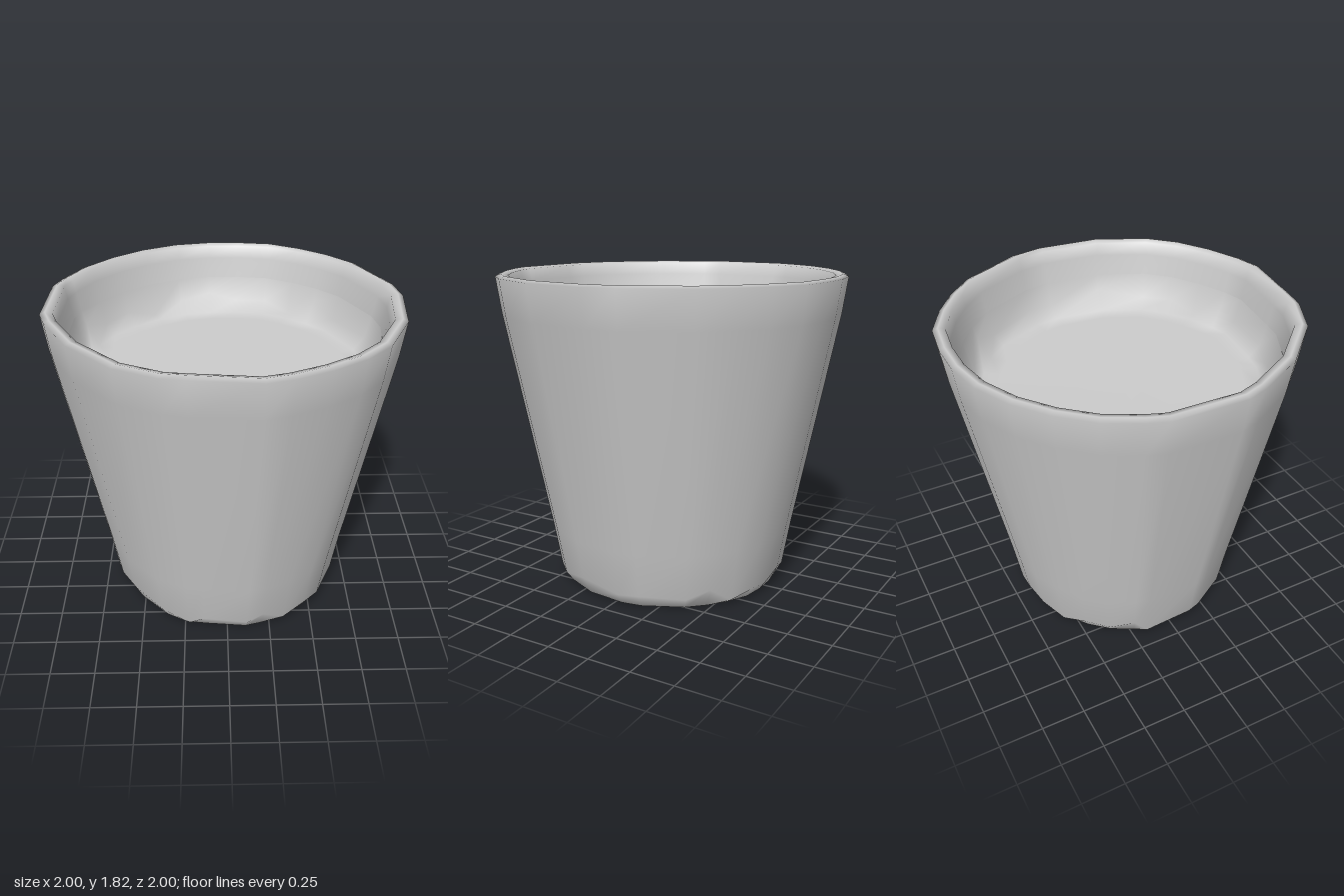
import * as THREE from 'three';

// Slightly irregular rim outline, as [x, z] pairs running from +x towards +z
const OUTLINE = [
  [1, -0.07], [0.96, 0.3], [0.82, 0.6], [0.68, 0.75], [0.5, 0.87], [0.31, 0.96], [0.17, 1],
  [-0.2, 0.96], [-0.33, 0.94], [-0.56, 0.83], [-0.81, 0.57], [-0.96, 0.29], [-1, 0.17],
  [-0.99, -0.25], [-0.95, -0.36], [-0.85, -0.55], [-0.7, -0.72], [-0.52, -0.86], [-0.31, -0.96],
  [-0.1, -1], [0.1, -1], [0.31, -0.97], [0.5, -0.87], [0.66, -0.75], [0.8, -0.6], [0.97, -0.25],
];
const TAPER = 0.19; // radius gained per unit of height along the walls

// Lofts the outline through profile rings: [radius, height, wobble along the wall]
function loft(name, profile) {
  const n = OUTLINE.length, positions = [], index = [];
  for (const [r, y, wobble = 0] of profile) {
    OUTLINE.forEach(([x, z], i) => {
      const shift = wobble * Math.sin(i * 2.1) * Math.cos(i * 0.7);
      const radius = r + TAPER * shift;
      positions.push(x * radius, y + shift, z * radius);
    });
  }
  for (let j = 0; j < profile.length - 1; j++) {
    for (let i = 0; i < n; i++) {
      const a = j * n + i, b = j * n + (i + 1) % n;
      index.push(a, a + n, b, b, a + n, b + n);
    }
  }
  const geometry = new THREE.BufferGeometry();
  geometry.setAttribute('position', new THREE.Float32BufferAttribute(positions, 3));
  geometry.setIndex(index);
  geometry.computeVertexNormals();
  const mesh = new THREE.Mesh(geometry, new THREE.MeshStandardMaterial({ color: 0xcccccc }));
  mesh.name = name;
  return mesh;
}

export function createModel() {
  const group = new THREE.Group();
  group.name = 'cup';
  group.add(
    // Underside, uneven foot bevel, tapered wall and thin lip in one smooth shell
    loft('shell', [
      [0, 0], [0.6, 0], [0.635, 0.005], [0.678, 0.07, 0.055], [0.725, 0.34],
      [0.97, 1.6], [1, 1.81], [0.97, 1.823], [0.93, 1.813], [0.915, 1.74], [0.888, 1.62],
    ]),
    // Shallow filling with an uneven bank where it meets the inner wall
    loft('filling', [
      [0.888, 1.62], [0.852, 1.48, 0.07], [0.79, 1.415], [0.7, 1.41], [0, 1.41],
    ]),
  );
  return group;
}
